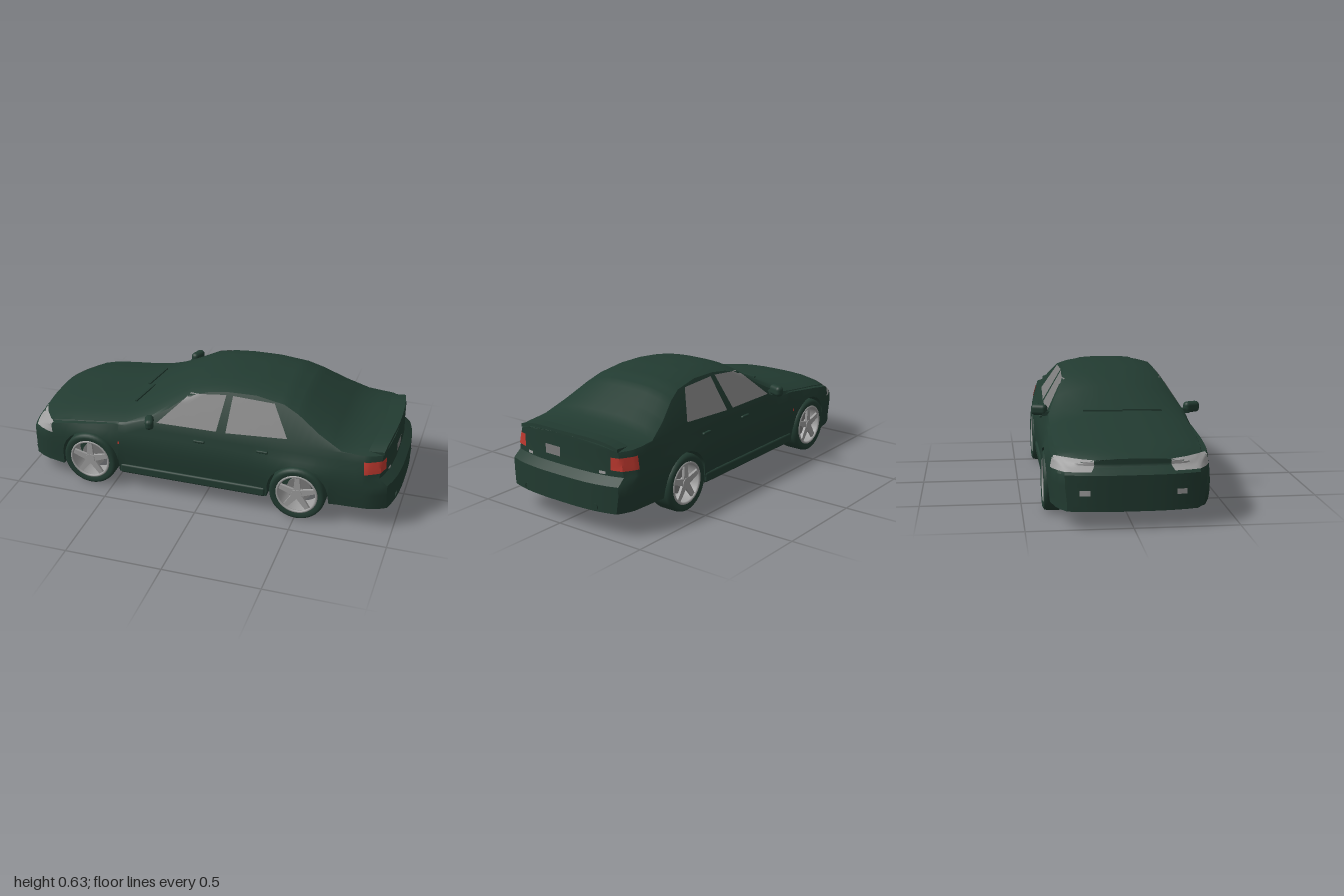
import * as THREE from 'three';
import { toCreasedNormals } from 'three/addons/utils/BufferGeometryUtils.js';
import { RoundedBoxGeometry } from 'three/addons/geometries/RoundedBoxGeometry.js';

const mat = (name, color) => new THREE.MeshStandardMaterial({ name, color, side: THREE.DoubleSide });
const lerp = THREE.MathUtils.lerp, smooth = THREE.MathUtils.smoothstep;
const AXLES = [-0.62, 0.51], WHEEL_R = 0.147, ARCH_R = 0.16;

// Centre line along the car: x, top height, drop from centre to top edge
const TOP = [
  [-1, 0.318, 0.03], [-0.96, 0.335, 0.032], [-0.9, 0.35, 0.035], [-0.7, 0.388, 0.04], [-0.5, 0.413, 0.04],
  [-0.42, 0.425, 0.04], [-0.32, 0.472, 0.058], [-0.2, 0.54, 0.06], [-0.1, 0.588, 0.035], [0, 0.609, 0.03],
  [0.1, 0.62, 0.028], [0.25, 0.623, 0.028], [0.4, 0.609, 0.035], [0.48, 0.585, 0.045], [0.6, 0.52, 0.05],
  [0.72, 0.455, 0.04], [0.8, 0.444, 0.035], [0.9, 0.442, 0.035], [1, 0.44, 0.035],
];
// Half-width factor along the car
const WIDTH = [[-1, 0.82], [-0.96, 0.9], [-0.9, 0.95], [-0.8, 0.985], [-0.65, 1], [0.75, 1], [0.9, 0.98], [0.96, 0.95], [1, 0.88]];

function sample(table, x, col) {
  let i = 1;
  while (i < table.length - 1 && table[i][0] < x) i++;
  const a = table[i - 1], b = table[i];
  return lerp(a[col], b[col], (x - a[0]) / (b[0] - a[0]));
}

// Quad grid, outward side is u cross v
function grid(nu, nv, point) {
  const pos = [], index = [];
  for (let i = 0; i <= nu; i++) for (let j = 0; j <= nv; j++) pos.push(...point(i, j));
  for (let i = 0; i < nu; i++) for (let j = 0; j < nv; j++) {
    const a = i * (nv + 1) + j, b = a + nv + 1;
    index.push(a, b, b + 1, a, b + 1, a + 1);
  }
  const g = new THREE.BufferGeometry();
  g.setAttribute('position', new THREE.Float32BufferAttribute(pos, 3));
  g.setIndex(index);
  return toCreasedNormals(g, 0.6);
}

// Round the nose and tail in plan and step the bumpers out below the lamps
function warp(x, y, z) {
  const t = smooth(Math.abs(x), 0.8, 1);
  const back = 0.03 * Math.pow(Math.abs(z) / 0.3, 3) + 0.045 * smooth(y, 0.25, 0.29);
  return [x - Math.sign(x) * t * back, y, z];
}

// Half cross-section [y, z] from floor centre to top centre
function halfSection(x) {
  const T = sample(TOP, x, 1), drop = sample(TOP, x, 2), w = sample(WIDTH, x, 1);
  const sill = x < -0.7 ? 0.08 : x < 0.6 ? 0.095 : 0.115;
  let arch = sill, flare = 0;
  for (const c of AXLES) {
    const d = Math.abs(x - c);
    if (d < ARCH_R) arch = WHEEL_R + Math.sqrt(ARCH_R ** 2 - d * d);
    flare = Math.max(flare, 0.013 * (1 - (d / 0.22) ** 2));
  }
  const S = Math.min(0.41, T - drop - 0.004);
  const side = y => (0.372 + 0.012 * smooth(y, 0.1, 0.2) - 0.03 * smooth(y, 0.27, 0.42)
    + flare * (1 - smooth(y, 0.28, 0.38))) * w;
  const pts = [[sill, 0], [sill, 0.24], [arch, 0.24], [arch, side(arch)]];
  [0.12, 0.2, 0.25, 0.285, 0.33, 0.37].forEach((y0, k) => {
    const y = Math.min(Math.max(y0, arch + 0.003 * (k + 1)), S - 0.003 * (6 - k));
    pts.push([y, side(y)]);
  });
  pts.push([S, 0.352 * w]);
  const yE = T - drop, zE = 0.352 * w - (yE - S) * 0.6;
  for (const f of [1, 0.92, 0.78, 0.5, 0.25, 0]) pts.push([yE + (T - yE) * (1 - f ** 3), zE * f]);
  return pts;
}

function bodyGeometries() {
  const xs = TOP.map(r => r[0]);
  for (const c of AXLES) for (const d of [0.162, 0.159, 0.15, 0.135, 0.11, 0.08, 0.04]) xs.push(c - d, c + d);
  xs.push(...AXLES, -0.98, -0.93, -0.85, 0.85, 0.94, 0.975);
  xs.sort((a, b) => a - b);
  const rings = xs.map(x => {
    const h = halfSection(x);
    return [...h, ...h.slice(0, -1).reverse().map(([y, z]) => [y, -z])].map(([y, z]) => warp(x, y, z));
  });
  const shell = grid(xs.length - 1, rings[0].length - 1, (i, j) => rings[i][j]);
  const cap = s => {
    const rows = halfSection(s).slice(3);
    return grid(12, rows.length - 1, (i, j) => warp(s, rows[j][0], -s * (i / 6 - 1) * rows[j][1]));
  };
  return { bodyShell: shell, noseFace: cap(-1), tailFace: cap(1) };
}

export function createModel() {
  const car = new THREE.Group();
  car.name = 'sedan';
  const paint = mat('dark green paint', 0x223b31), glass = mat('grey glass', 0x7c7c7c);
  const metal = mat('light grey metal', 0x9e9e9e), red = mat('red lamp', 0xc23a30);
  const add = (name, geo, material, parent = car, p = [0, 0, 0], r = [0, 0, 0]) => {
    const m = new THREE.Mesh(geo, material);
    m.name = name;
    m.position.set(...p);
    m.rotation.set(...r);
    parent.add(m);
    return m;
  };

  const shells = Object.entries(bodyGeometries()).map(([n, g]) => add(n, g, paint));

  // Thin plate laid on the body: four corners projected along a direction
  const ray = new THREE.Raycaster();
  const plate = (name, material, corners, dir, lift = 0.004) => {
    const [a, b, c, d] = corners.map(p => new THREE.Vector3(...p));
    const v = new THREE.Vector3(...dir).normalize();
    add(name, grid(10, 6, (i, j) => {
      const p = a.clone().lerp(b, i / 10).lerp(d.clone().lerp(c, i / 10), j / 6);
      ray.set(p.clone().addScaledVector(v, -0.4), v);
      const hit = ray.intersectObjects(shells)[0];
      return (hit ? hit.point : p).clone().addScaledVector(v, -lift).toArray();
    }), material);
  };
  const panel = (name, material, x, y0, y1, z0, z1, lift) => plate(name, material,
    [[x, y0, z0], [x, y0, z1], [x, y1, z1], [x, y1, z0]], [-Math.sign(x), 0, 0], lift);

  for (const s of [1, -1]) {
    const n = s > 0 ? 'left' : 'right';
    const flat = pts => pts.map(([x, y]) => [x, y, s * 0.4]);
    // Side windows
    plate(n + 'FrontWindow', glass, flat([[-0.25, 0.412], [0.07, 0.415], [0.095, 0.58], [-0.095, 0.562]]), [0, 0, -s]);
    plate(n + 'RearWindow', glass, flat([[0.12, 0.415], [0.44, 0.432], [0.35, 0.574], [0.13, 0.58]]), [0, 0, -s]);
    // Lamps
    plate(n + 'Headlight', metal, [[-0.96, 0.263, s * 0.18], [-0.83, 0.263, s * 0.37],
      [-0.84, 0.318, s * 0.36], [-0.95, 0.312, s * 0.18]], [1, 0, -s * 0.7]);
    plate(n + 'TailLight', red, [[0.94, 0.315, s * 0.28], [0.85, 0.315, s * 0.38],
      [0.85, 0.378, s * 0.37], [0.94, 0.378, s * 0.28]], [-1, 0, -s * 0.9]);
    panel(n + 'FogLight', metal, -1, 0.155, 0.18, s * 0.2, s * 0.25);
    panel(n + 'ReverseLight', metal, 1, 0.292, 0.306, s * 0.215, s * 0.25);
    plate(n + 'SideMarker', red, flat([[-0.458, 0.27], [-0.448, 0.27], [-0.448, 0.285], [-0.458, 0.285]]), [0, 0, -s]);
    // Mirror on a short arm
    add(n + 'Mirror', new RoundedBoxGeometry(0.045, 0.056, 0.085, 3, 0.02), paint, car, [-0.275, 0.432, s * 0.393], [0, s * 0.35, 0]);
    add(n + 'MirrorArm', new THREE.BoxGeometry(0.035, 0.022, 0.06), paint, car, [-0.285, 0.415, s * 0.35]);
    // Door handles and sill skirt
    for (const x of [-0.015, 0.32])
      add(n + 'DoorHandle', new RoundedBoxGeometry(0.06, 0.014, 0.016, 2, 0.005), paint, car, [x, 0.352, s * 0.373]);
    add(n + 'SideSkirt', new RoundedBoxGeometry(0.79, 0.05, 0.03, 2, 0.01), paint, car, [-0.055, 0.118, s * 0.372]);
    // Exhaust tip
    add(n + 'Exhaust', new THREE.CylinderGeometry(0.02, 0.02, 0.07, 16, 1, true), paint, car, [0.955, 0.135, s * 0.215], [0, 0, Math.PI / 2]);
    // Windscreen wiper
    add(n + 'Wiper', new THREE.BoxGeometry(0.012, 0.008, 0.2), paint, car, [-0.4, 0.443, s * 0.1 + 0.02], [0, -0.15, 0]);
  }

  // Nose bars, rear plate, plate surround and sunroof
  panel('grilleBar', paint, -1, 0.262, 0.276, -0.14, 0.14, 0.009);
  panel('bumperBar', paint, -1, 0.195, 0.215, -0.26, 0.26, 0.006);
  panel('frontLip', paint, -1, 0.083, 0.105, -0.28, 0.28, 0.009);
  panel('plateSurround', paint, 1, 0.305, 0.39, -0.14, 0.14, 0.003);
  panel('numberPlate', glass, 1, 0.325, 0.373, 0.02, 0.115, 0.007);
  plate('sunroof', paint, [[-0.03, 0.6, 0.145], [0.36, 0.6, 0.145], [0.36, 0.6, -0.145], [-0.03, 0.6, -0.145]], [0, -1, 0], 0.005);

  // Boot spoiler, bowed in plan and drooping at its ends
  const wing = new THREE.BoxGeometry(0.08, 0.016, 0.62, 1, 1, 16), wp = wing.attributes.position;
  for (let i = 0; i < wp.count; i++) {
    const k = (wp.getZ(i) / 0.31) ** 2;
    wp.setXYZ(i, wp.getX(i) - 0.03 * k, wp.getY(i) - 0.03 * k * k, wp.getZ(i));
  }
  wing.computeVertexNormals();
  add('spoiler', wing, paint, car, [0.915, 0.444, 0], [0, 0, 0.08]);

  // Wheels: tyre, open rim and five spokes
  const tyre = new THREE.LatheGeometry([[0.108, -0.058], [0.13, -0.066], [0.143, -0.058], [WHEEL_R, -0.042],
    [WHEEL_R, 0.042], [0.143, 0.058], [0.13, 0.066], [0.108, 0.058]].map(p => new THREE.Vector2(...p)), 40);
  const spoke = new THREE.BoxGeometry(0.036, 0.088, 0.014), sp = spoke.attributes.position;
  for (let i = 0; i < sp.count; i++) if (sp.getY(i) > 0) sp.setX(i, sp.getX(i) * 0.65);
  for (const x of AXLES) for (const s of [1, -1]) {
    const wheel = new THREE.Group();
    wheel.name = (s > 0 ? 'left' : 'right') + (x < 0 ? 'FrontWheel' : 'RearWheel');
    wheel.position.set(x, WHEEL_R, s * 0.335);
    if (s < 0) wheel.rotation.y = Math.PI;
    car.add(wheel);
    add('tyre', tyre, paint, wheel, [0, 0, 0], [Math.PI / 2, 0, 0]);
    add('rimBarrel', new THREE.CylinderGeometry(0.107, 0.107, 0.115, 40, 1, true), metal, wheel, [0, 0, 0], [Math.PI / 2, 0, 0]);
    add('rimRing', new THREE.TorusGeometry(0.104, 0.007, 8, 40), metal, wheel, [0, 0, 0.056]);
    add('hub', new THREE.CylinderGeometry(0.026, 0.03, 0.025, 20), metal, wheel, [0, 0, 0.046], [Math.PI / 2, 0, 0]);
    add('brakeDisc', new THREE.CylinderGeometry(0.065, 0.065, 0.012, 24), glass, wheel, [0, 0, 0], [Math.PI / 2, 0, 0]);
    for (let k = 0; k < 5; k++) {
      const a = k * Math.PI * 0.4;
      add('spoke', spoke, metal, wheel, [-Math.sin(a) * 0.06, Math.cos(a) * 0.06, 0.048], [0, 0, a]);
    }
  }
  return car;
}
